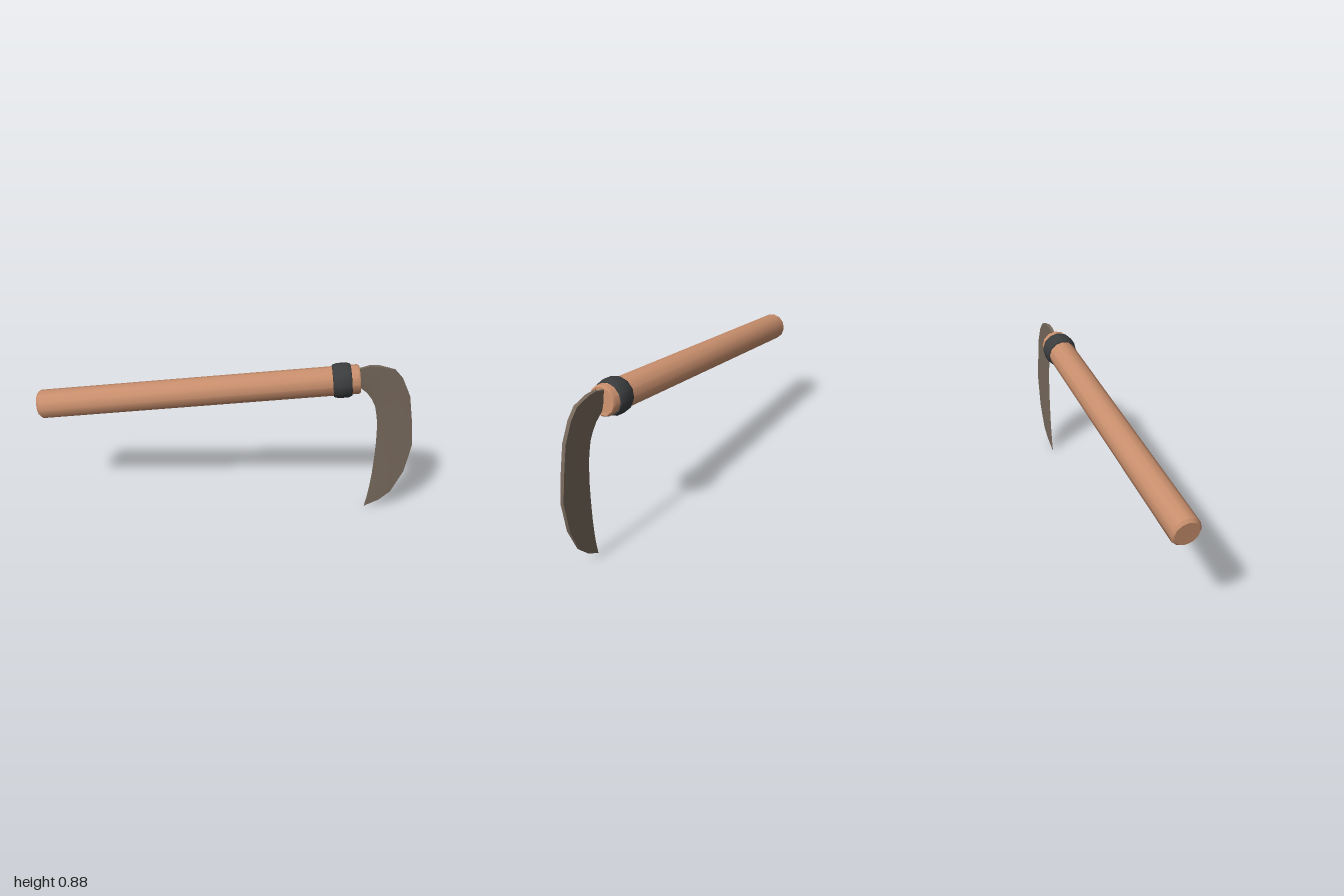
import * as THREE from 'three';
import { toCreasedNormals } from 'three/addons/utils/BufferGeometryUtils.js';

const mat = (name, color) => {
  const m = new THREE.MeshStandardMaterial({ color });
  m.name = name;
  return m;
};

// Twelve-sided turned part with smooth sides and crisp bevels
function turned(name, profile, material) {
  const pts = profile.map(([r, y]) => new THREE.Vector2(r, y));
  const geo = toCreasedNormals(new THREE.LatheGeometry(pts, 12), 0.6);
  const mesh = new THREE.Mesh(geo, material);
  mesh.name = name;
  return mesh;
}

// Curved blade: sections run from tang to tip, thick at the spine, sharp inside
function bladeGeometry() {
  // spine x, spine y, edge x, edge y, half thickness
  const stations = [
    [0.64, 0.85, 0.64, 0.76, 0.007],
    [0.69, 0.855, 0.69, 0.75, 0.007],
    [0.735, 0.87, 0.735, 0.715, 0.009],
    [0.785, 0.87, 0.762, 0.68, 0.01],
    [0.865, 0.85, 0.783, 0.64, 0.01],
    [0.91, 0.8, 0.796, 0.585, 0.01],
    [0.955, 0.705, 0.805, 0.53, 0.01],
    [0.985, 0.54, 0.81, 0.42, 0.01],
    [1, 0.42, 0.81, 0.34, 0.01],
    [0.975, 0.25, 0.807, 0.22, 0.01],
    [0.917, 0.11, 0.8, 0.12, 0.009],
    [0.86, 0.05, 0.793, 0.06, 0.006],
    [0.783, 0, 0.783, 0.002, 0.0005],
  ];
  const section = [[0, 1], [0.65, 0.8], [1, 0], [0.65, -0.8], [0, -1]];
  const n = section.length;
  const pos = [], index = [];
  stations.forEach(([sx, sy, ex, ey, t], i) => {
    for (const [u, w] of section) pos.push(sx + (ex - sx) * u, sy + (ey - sy) * u, -0.003 + t * w);
    if (i === 0) return;
    for (let j = 0; j < n; j++) {
      const k = (j + 1) % n, a = (i - 1) * n, b = i * n;
      index.push(a + j, a + k, b + k, a + j, b + k, b + j);
    }
  });
  const geo = new THREE.BufferGeometry();
  geo.setAttribute('position', new THREE.Float32BufferAttribute(pos, 3));
  geo.setIndex(index);
  return toCreasedNormals(geo, 0.6);
}

export function createModel() {
  const wood = mat('wood', 0xc98f6d);
  const iron = mat('dark iron', 0x3a3c3d);
  const steel = mat('aged steel', 0x75675a);
  const model = new THREE.Group();
  model.name = 'sickle';

  // Tilted grip: shaft and collar share one axis
  const grip = new THREE.Group();
  grip.name = 'grip';
  grip.position.set(-0.988, 0.597, 0);
  grip.rotation.z = Math.atan2(0.2, 1.678) - Math.PI / 2;
  const L = 1.69, R = 0.076;
  grip.add(turned('handle', [
    [0, 0], [0.064, 0], [R, 0.013], [R, L - 0.01], [0.07, L],
    [0.063, L], [0.061, L - 0.004], [0, L - 0.004],
  ], wood));
  const collar = turned('collar', [
    [0.074, -0.048], [0.082, -0.046], [0.09, -0.026], [0.09, 0.026], [0.082, 0.046], [0.074, 0.048],
  ], iron);
  collar.position.y = 1.6;
  grip.add(collar);
  model.add(grip);

  const blade = new THREE.Mesh(bladeGeometry(), steel);
  blade.name = 'blade';
  model.add(blade);
  return model;
}
